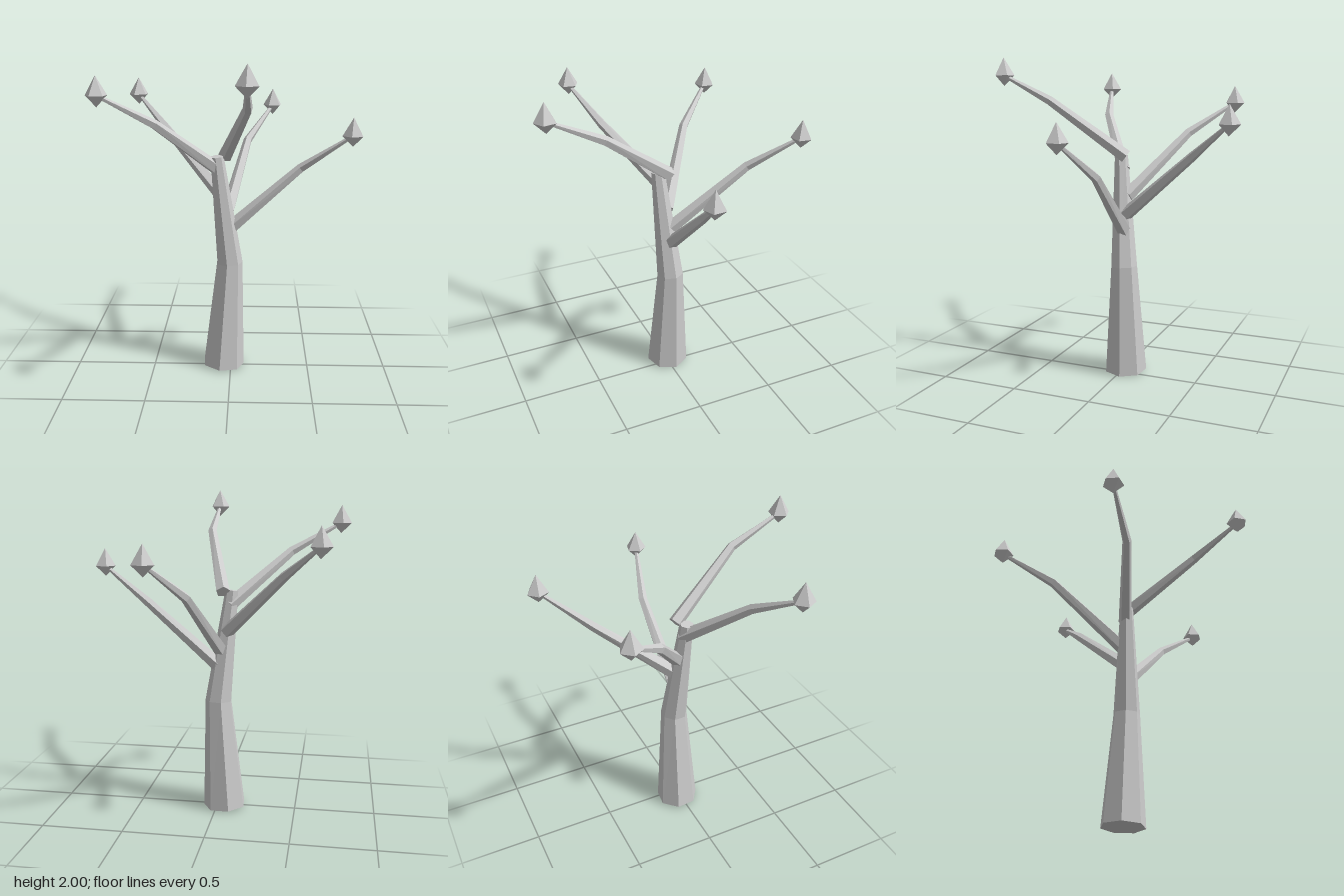
import * as THREE from 'three';

const bark = new THREE.MeshStandardMaterial({ color: 0xcccccc, flatShading: true });
bark.name = 'pale grey';

// Tapered faceted limb through centres [x, y, z, radius], with closed ends.
// Each ring lies square to the path; "ref" sets where its first corner points.
function limb(name, rows, sides, ref, turn = 0) {
  const pts = rows.map(r => new THREE.Vector3(r[0], r[1], r[2]));
  const rings = pts.map((c, i) => {
    const t = new THREE.Vector3();
    if (i > 0) t.add(pts[i].clone().sub(pts[i - 1]).normalize());
    if (i < pts.length - 1) t.add(pts[i + 1].clone().sub(pts[i]).normalize());
    t.normalize();
    const s = t.clone().cross(ref).normalize();
    const n = s.clone().cross(t);
    return Array.from({ length: sides }, (_, k) => {
      const a = turn + (k / sides) * Math.PI * 2;
      return c.clone()
        .addScaledVector(n, rows[i][3] * Math.cos(a))
        .addScaledVector(s, rows[i][3] * Math.sin(a));
    });
  });
  const tris = [];
  const last = rings.length - 1;
  for (let k = 0; k < sides; k++) {
    const m = (k + 1) % sides;
    for (let i = 0; i < last; i++) {
      const [a, b, c, d] = [rings[i][k], rings[i][m], rings[i + 1][m], rings[i + 1][k]];
      tris.push(a, b, c, a, c, d);
    }
    tris.push(pts[0], rings[0][m], rings[0][k]);
    tris.push(pts[last], rings[last][k], rings[last][m]);
  }
  const geo = new THREE.BufferGeometry().setFromPoints(tris);
  geo.computeVertexNormals();
  const mesh = new THREE.Mesh(geo, bark);
  mesh.name = name;
  return mesh;
}

// Five-sided pointed bud, taller above its widest ring than below
const budGeometry = new THREE.LatheGeometry([
  new THREE.Vector2(0, -0.065),
  new THREE.Vector2(0.065, 0),
  new THREE.Vector2(0, 0.11),
], 5);

export function createModel() {
  const tree = new THREE.Group();
  tree.name = 'bareTree';

  // Seven-sided trunk with one bend
  tree.add(limb('trunk', [
    [-0.05, 0.012, -0.015, 0.135],
    [-0.01, 0.71, -0.018, 0.084],
    [-0.085, 1.4, 0.03, 0.042],
  ], 7, new THREE.Vector3(0, 0, 1), THREE.MathUtils.degToRad(-8.5)));

  // Branches: base, elbow, tip, and turn of the bud in degrees
  const branches = [
    ['leftBranch', [0.0, 0.94, -0.02], [0.43, 1.32, -0.025], [0.73, 1.535, 0.065], 58],
    ['backBranch', [-0.02, 1.04, -0.03], [0.1, 1.42, -0.48], [0.27, 1.625, -0.74], 46],
    ['backRightBranch', [-0.06, 1.15, -0.02], [-0.425, 1.525, -0.3], [-0.635, 1.715, -0.55], 50],
    ['frontRightBranch', [-0.07, 1.31, 0.01], [-0.43, 1.625, 0.258], [-0.735, 1.8, 0.365], 46],
    ['frontBranch', [-0.035, 1.395, -0.02], [0.105, 1.735, 0.425], [0.105, 1.89, 0.745], 66],
  ];
  const up = new THREE.Vector3(0, 1, 0);
  for (const [name, base, elbow, tip, turn] of branches) {
    const branch = new THREE.Group();
    branch.name = name;
    branch.add(limb('bough', [[...base, 0.044], [...elbow, 0.029], [...tip, 0.011]], 5, up));
    const bud = new THREE.Mesh(budGeometry, bark);
    bud.name = 'bud';
    bud.position.set(...tip);
    bud.rotation.y = THREE.MathUtils.degToRad(turn);
    branch.add(bud);
    tree.add(branch);
  }
  return tree;
}
